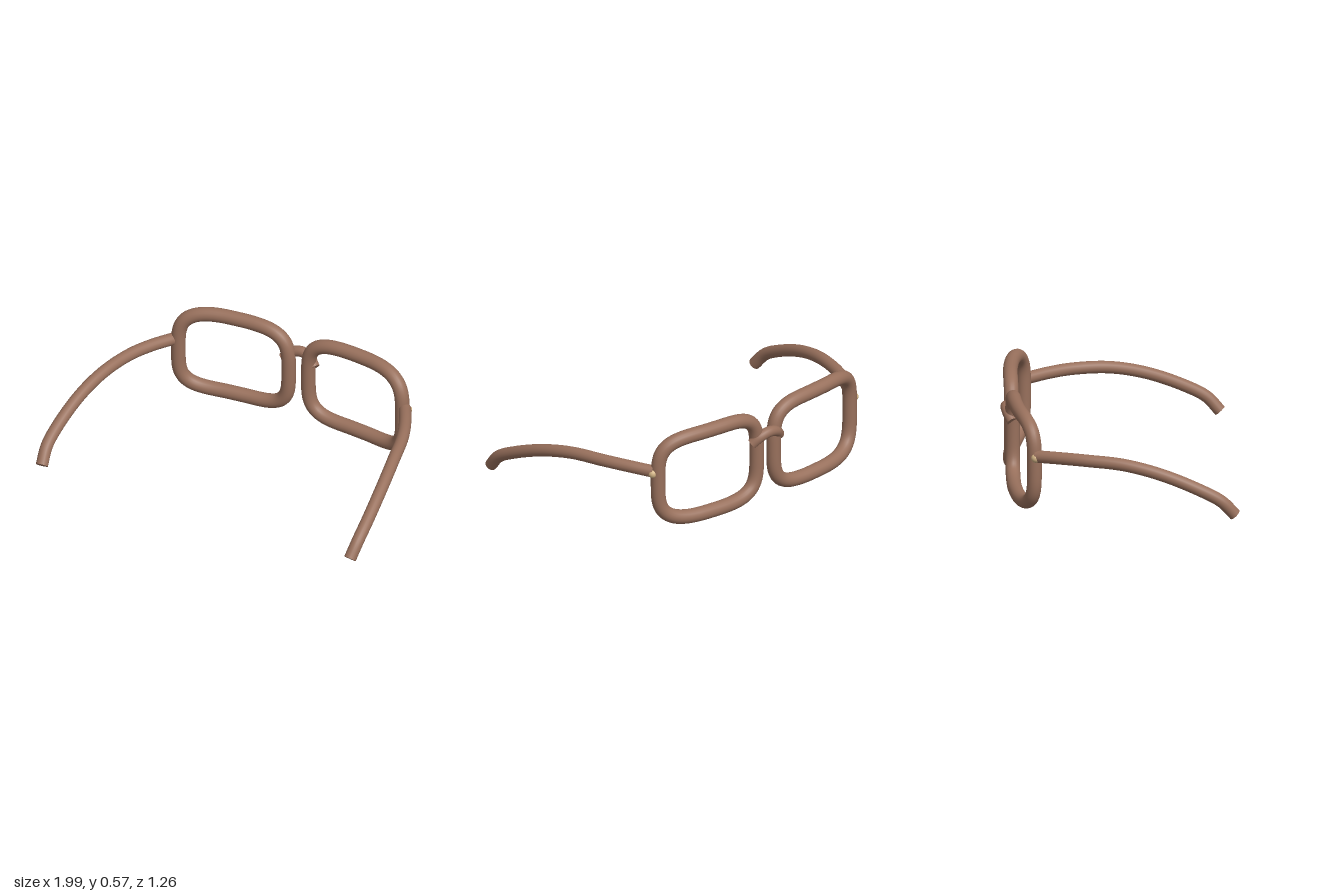
import * as THREE from 'three';

const frameBrown = new THREE.MeshStandardMaterial({ color: 0x98705c });
frameBrown.name = 'frame brown';
const hingeTan = new THREE.MeshStandardMaterial({ color: 0xd0b284 });
hingeTan.name = 'hinge tan';

function addMesh(group, name, geometry, material) {
  const mesh = new THREE.Mesh(geometry, material);
  mesh.name = name;
  group.add(mesh);
  return mesh;
}

// Round rod along a smooth curve, closed with flat discs at both ends
function addRod(parent, name, points, radius, segments) {
  const rod = new THREE.Group();
  rod.name = name;
  const curve = new THREE.CatmullRomCurve3(points);
  addMesh(rod, name + 'Tube', new THREE.TubeGeometry(curve, segments, radius, 20), frameBrown);
  for (const [t, sign] of [[0, -1], [1, 1]]) {
    const cap = addMesh(rod, name + 'Cap', new THREE.CircleGeometry(radius, 20), frameBrown);
    cap.position.copy(curve.getPoint(t));
    const outward = curve.getTangent(t).multiplyScalar(sign);
    cap.quaternion.setFromUnitVectors(new THREE.Vector3(0, 0, 1), outward);
  }
  parent.add(rod);
}

// Rounded rectangular rim that sweeps back towards the temple
function rimPoints(side) {
  const points = [];
  const power = (v) => Math.sign(v) * Math.pow(Math.abs(v), 2 / 3.9);
  for (let i = 0; i < 64; i++) {
    const a = ((i + 0.5) / 64) * Math.PI * 2;
    const x = 0.377 + 0.316 * power(Math.cos(a));
    const y = 0.291 + 0.245 * power(Math.sin(a));
    const sweep = Math.max(0, (x - 0.1) / 0.593);
    points.push(new THREE.Vector3(side * x, y, -0.572 + 0.093 * sweep ** 3));
  }
  return points;
}

export function createModel() {
  const glasses = new THREE.Group();
  glasses.name = 'glasses';

  // Temple centre line, from the hinge to the ear tip
  const templePath = [
    [0.715, 0.354, -0.468], [0.785, 0.363, -0.34], [0.845, 0.366, -0.2], [0.897, 0.355, 0],
    [0.935, 0.309, 0.2], [0.959, 0.226, 0.41], [0.963, 0.16, 0.53], [0.953, 0.082, 0.602],
  ];

  for (const side of [1, -1]) {
    const prefix = side > 0 ? 'left' : 'right';

    const rimCurve = new THREE.CatmullRomCurve3(rimPoints(side), true);
    addMesh(glasses, prefix + 'Rim', new THREE.TubeGeometry(rimCurve, 128, 0.04, 20, true), frameBrown);

    const path = templePath.map(([x, y, z]) => new THREE.Vector3(side * x, y, z));
    addRod(glasses, prefix + 'Temple', path, 0.034, 64);

    const hinge = addMesh(glasses, prefix + 'Hinge', new THREE.SphereGeometry(0.025, 20, 14), hingeTan);
    hinge.position.set(side * 0.728, 0.348, -0.474);
  }

  // Arched nose bridge set behind the rims
  const bridge = [
    [-0.098, 0.362, -0.574], [-0.055, 0.402, -0.598], [0, 0.417, -0.605],
    [0.055, 0.402, -0.598], [0.098, 0.362, -0.574],
  ].map((p) => new THREE.Vector3(...p));
  addRod(glasses, 'bridge', bridge, 0.03, 32);

  return glasses;
}
